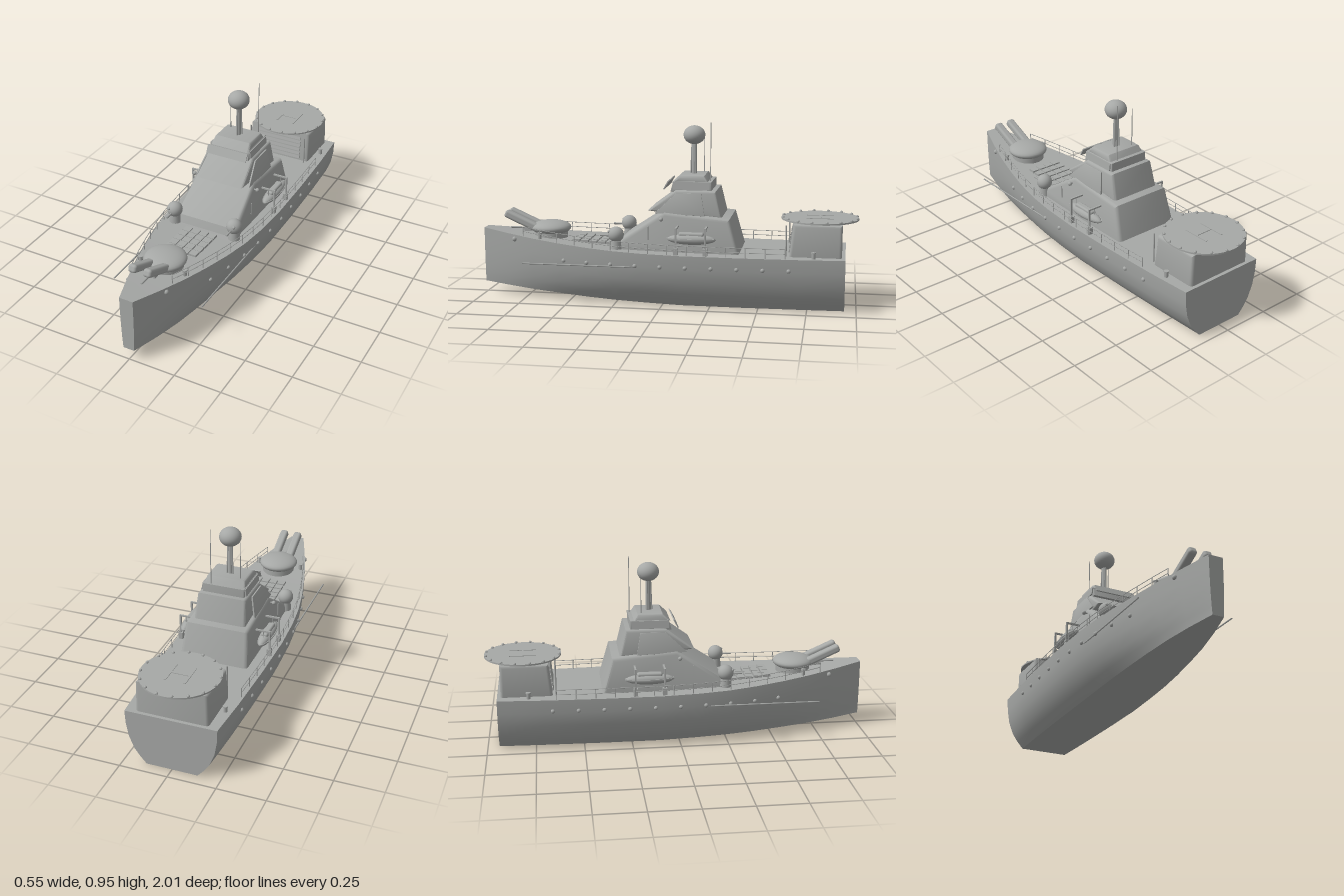
import * as THREE from 'three';
import { toCreasedNormals } from 'three/addons/utils/BufferGeometryUtils.js';
import { RoundedBoxGeometry } from 'three/addons/geometries/RoundedBoxGeometry.js';

const grey = new THREE.MeshStandardMaterial({ color: 0xa6a8a6 });
grey.name = 'ship grey';

// Hull stations: z, deck half width, deck height, keel height
const STATIONS = [
  [-0.94, 0.237, 0.285, 0], [-0.7, 0.253, 0.285, 0], [-0.4, 0.265, 0.286, 0], [-0.1, 0.27, 0.288, 0.001],
  [0.1, 0.262, 0.292, 0.007], [0.25, 0.247, 0.297, 0.013], [0.4, 0.22, 0.305, 0.021], [0.55, 0.184, 0.315, 0.031],
  [0.7, 0.143, 0.328, 0.041], [0.85, 0.092, 0.343, 0.052], [1, 0.037, 0.36, 0.063],
];
// Section: height fraction, width fraction midships
const SECTION = [[1, 1], [0.75, 0.985], [0.5, 0.93], [0.27, 0.82], [0.13, 0.7], [0, 0.56]];

function station(z) {
  let i = 0;
  while (i < STATIONS.length - 2 && STATIONS[i + 1][0] < z) i++;
  const a = STATIONS[i], b = STATIONS[i + 1], t = (z - a[0]) / (b[0] - a[0]);
  return a.map((v, k) => v + (b[k] - v) * t);
}
const widthAt = (f, w, z) => w * (f + (1 - f) * 0.55 * Math.max(0, z) ** 2);
function hullX(z, y) {
  const [, w, top, keel] = station(z), h = (y - keel) / (top - keel);
  let i = 0;
  while (i < SECTION.length - 2 && SECTION[i + 1][0] > h) i++;
  const [h0, f0] = SECTION[i], [h1, f1] = SECTION[i + 1];
  return widthAt(f0 + (f1 - f0) * (h - h0) / (h1 - h0), w, z);
}

function hullGeometry() {
  const pos = [], idx = [], n = SECTION.length * 2;
  for (const [z, w, top, keel] of STATIONS) {
    const half = SECTION.map(([h, f]) => [widthAt(f, w, z), keel + (top - keel) * h]);
    for (const [x, y] of half) pos.push(x, y, z);
    for (const [x, y] of half.reverse()) pos.push(-x, y, z);
  }
  const last = (STATIONS.length - 1) * n;
  for (let s = 0; s < last; s += n)
    for (let j = 0; j < n; j++) {
      const k = (j + 1) % n, a = s + j, b = s + k, c = b + n, d = a + n;
      idx.push(a, d, c, a, c, b);
    }
  for (let j = 1; j < n - 1; j++) idx.push(0, j, j + 1, last, last + j + 1, last + j);
  const g = new THREE.BufferGeometry();
  g.setAttribute('position', new THREE.Float32BufferAttribute(pos, 3));
  g.setIndex(idx);
  return toCreasedNormals(g, 0.55);
}

// Side profile of [z, y] points extruded across the ship, narrowing upward
function block(profile, wBottom, wTop, bevel = 0.015) {
  const shape = new THREE.Shape(profile.map(p => new THREE.Vector2(...p)));
  const g = new THREE.ExtrudeGeometry(shape, {
    depth: 2 * (wBottom - bevel), bevelThickness: bevel, bevelSize: bevel, bevelOffset: -bevel, bevelSegments: 3,
  });
  g.translate(0, 0, bevel - wBottom).rotateY(-Math.PI / 2);
  const ys = profile.map(p => p[1]), lo = Math.min(...ys), hi = Math.max(...ys), p = g.attributes.position;
  for (let i = 0; i < p.count; i++) {
    const t = (p.getY(i) - lo) / (hi - lo);
    p.setX(i, p.getX(i) * (1 + (wTop / wBottom - 1) * t));
  }
  return toCreasedNormals(g, 0.6);
}

export function createModel() {
  const root = new THREE.Group();
  root.name = 'patrolShip';
  const add = (name, geo, x = 0, y = 0, z = 0, parent = root) => {
    const m = new THREE.Mesh(geo, grey);
    m.name = name;
    m.position.set(x, y, z);
    parent.add(m);
    return m;
  };
  const box = (w, h, d) => new THREE.BoxGeometry(w, h, d);
  const ball = (r, a = 12, b = 8) => new THREE.SphereGeometry(r, a, b);
  const rod = (name, a, b, r, r2 = r, sides = 6) => {
    const A = new THREE.Vector3(...a), B = new THREE.Vector3(...b), d = B.clone().sub(A);
    const m = add(name, new THREE.CylinderGeometry(r2, r, d.length(), sides));
    m.position.copy(A).add(B).multiplyScalar(0.5);
    m.quaternion.setFromUnitVectors(new THREE.Vector3(0, 1, 0), d.normalize());
    return m;
  };

  add('hull', hullGeometry());

  // Superstructure tiers
  add('lowerHouse', block([[-0.405, 0.27], [0.245, 0.27], [0.225, 0.34], [-0.01, 0.495], [-0.35, 0.465]], 0.185, 0.165, 0.02));
  add('middleHouse', block([[-0.31, 0.46], [-0.02, 0.48], [0.08, 0.495], [-0.065, 0.603], [-0.275, 0.603]], 0.14, 0.13));
  add('bridge', block([[-0.25, 0.595], [-0.035, 0.595], [-0.05, 0.648], [-0.25, 0.648]], 0.112, 0.112, 0.004));
  add('bridgeRoof', block([[-0.235, 0.64], [-0.04, 0.64], [-0.08, 0.678], [-0.21, 0.678]], 0.11, 0.103, 0.012));
  add('frontVisor', box(0.232, 0.046, 0.006), 0, 0.626, -0.012).rotation.x = -0.5;
  for (const s of [-1, 1]) {
    add('sideVisor', box(0.006, 0.04, 0.19), s * 0.116, 0.626, -0.145).rotation.z = s * 0.12;
    // Slanted cheek plates beside the middle house
    const cheek = block([[-0.22, 0.475], [0.04, 0.485], [-0.07, 0.59], [-0.2, 0.59]], 0.004, 0.004, 0.001);
    add('cheekPlate', cheek, s * 0.147, 0, 0).rotation.z = s * 0.17;
    root.children.at(-1).position.x += s * 0.53 * Math.sin(0.17);
    root.children.at(-1).position.y += 0.53 * (1 - Math.cos(0.17));
  }

  // Mast, radome and aerials
  add('mast', new THREE.CylinderGeometry(0.012, 0.014, 0.18, 16), 0, 0.755, -0.145);
  for (let i = 0; i < 3; i++) {
    const a = i * Math.PI * 2 / 3 + Math.PI / 2, c = Math.cos(a), s = Math.sin(a);
    rod('mastStrut', [c * 0.018, 0.67, -0.145 + s * 0.018], [c * 0.012, 0.84, -0.145 + s * 0.012], 0.004);
  }
  add('radome', ball(0.057, 32, 20), 0, 0.88, -0.145).scale.y = 0.86;
  rod('tallAerial', [0.07, 0.6, -0.24], [0.07, 0.95, -0.24], 0.003, 0.0015);
  rod('shortAerial', [-0.07, 0.66, -0.19], [-0.07, 0.88, -0.19], 0.003, 0.0015);

  // Main gun turret
  add('turretRing', new THREE.CylinderGeometry(0.09, 0.09, 0.05, 32), 0, 0.335, 0.635);
  add('turretDome', ball(0.108, 32, 16), 0, 0.367, 0.635).scale.y = 0.36;
  for (const s of [-1, 1])
    add('gunBarrel', new RoundedBoxGeometry(0.045, 0.042, 0.2, 3, 0.014), s * 0.041, 0.405, 0.785).rotation.x = -0.42;
  rod('centreGun', [0, 0.36, 0.7], [0, 0.36, 0.86], 0.005);
  add('gunCradle', box(0.05, 0.02, 0.08), 0, 0.355, 0.74);

  // Missile hatch grid
  for (let i = 0; i < 4; i++)
    for (let j = 0; j < 5; j++) {
      const z = 0.292 + j * 0.046;
      add('missileHatch', box(0.042, 0.014, 0.04), (i - 1.5) * 0.047, station(z)[2] + 0.005, z);
    }

  // Aft hangar with slatted door and landing pad
  add('hangar', block([[-0.655, 0.27], [-0.675, 0.453], [-0.922, 0.453], [-0.922, 0.27]].reverse(), 0.187, 0.183, 0.016));
  for (let i = 0; i < 6; i++)
    add('doorSlat', box(0.27, 0.016, 0.008), 0, 0.305 + i * 0.023, -0.656 - i * 0.0025).rotation.x = -0.3;
  add('landingPad', new THREE.CylinderGeometry(0.2, 0.2, 0.008, 48), 0, 0.458, -0.805);
  for (let i = 0; i < 16; i++) {
    const a = (i + 0.5) * Math.PI / 8;
    add('padLight', ball(0.008, 8, 6), Math.cos(a) * 0.193, 0.464, -0.805 + Math.sin(a) * 0.193);
  }
  for (const s of [-1, 1]) add('padMarkBar', box(0.01, 0.004, 0.14), s * 0.05, 0.463, -0.805);
  add('padMarkCross', box(0.1, 0.004, 0.01), 0, 0.463, -0.805);

  // Fittings mirrored on both sides
  for (const s of [-1, 1]) {
    // Gun domes beside the forward deck
    add('domeBase', new THREE.CylinderGeometry(0.026, 0.032, 0.06, 20), s * 0.175, 0.32, 0.24);
    add('gunDome', ball(0.041, 24, 16), s * 0.175, 0.372, 0.24);
    rod('domeBarrel', [s * 0.175, 0.365, 0.27], [s * 0.175, 0.365, 0.325], 0.005);
    add('domeSight', ball(0.008), s * 0.19, 0.388, 0.274);

    // Lifeboat on davits
    add('lifeboat', ball(0.125, 24, 14), s * 0.212, 0.365, -0.16).scale.set(0.26, 0.22, 1);
    add('lifeboatRim', new THREE.CylinderGeometry(0.128, 0.128, 0.006, 24), s * 0.212, 0.367, -0.16).scale.x = 0.28;
    add('lifeboatCover', new RoundedBoxGeometry(0.036, 0.03, 0.13, 2, 0.01), s * 0.212, 0.386, -0.16);
    for (const z of [-0.085, -0.235]) {
      add('davitPost', box(0.009, 0.14, 0.009), s * 0.246, 0.355, z);
      add('davitArm', box(0.085, 0.008, 0.009), s * 0.208, 0.424, z);
      add('davitFoot', box(0.022, 0.04, 0.022), s * 0.244, 0.305, z);
      rod('davitFall', [s * 0.212, 0.424, z], [s * 0.212, 0.37, z], 0.002);
    }

    // Portholes along the hull
    for (let i = 0; i < 10; i++) {
      const z = 0.52 - i * 0.131;
      add('porthole', ball(0.011), s * hullX(z, 0.225), 0.225, z);
    }
    add('bowLight', ball(0.013), s * hullX(0.81, 0.315), 0.315, 0.81);
    rod('sideBoom', [s * 0.25, 0.217, 0.04], [s * 0.25, 0.217, 0.725], 0.004);

    // Bollards and lamps
    for (const [x, z] of [[0.125, 0.665], [0.215, -0.78]]) {
      const y = station(z)[2];
      add('bollard', new THREE.CylinderGeometry(0.01, 0.01, 0.03, 10), s * x, y + 0.013, z);
      add('bollardCap', new THREE.CylinderGeometry(0.013, 0.013, 0.006, 10), s * x, y + 0.03, z);
    }
    rod('hangarPost', [s * 0.17, 0.28, -0.64], [s * 0.17, 0.445, -0.64], 0.004);
    add('houseLamp', ball(0.011), s * 0.187, 0.46, 0.0);
    rod('lampBracket', [s * 0.15, 0.46, 0], [s * 0.187, 0.46, 0], 0.004);
    rod('housePost', [s * 0.188, 0.35, 0.07], [s * 0.188, 0.42, 0.07], 0.003);

    // Guard rails
    const stops = Array.from({ length: 15 }, (_, i) => 0.76 - i * 0.1);
    const railPoint = (z, h) => [s * (station(z)[1] - 0.012), station(z)[2] + h, z];
    stops.forEach((z, i) => {
      rod('railPost', railPoint(z, -0.005), railPoint(z, 0.05), 0.0025, 0.0025, 5);
      if (i) for (const h of [0.025, 0.05]) rod('guardRail', railPoint(stops[i - 1], h), railPoint(z, h), 0.0018, 0.0018, 5);
    });
  }
  return root;
}
